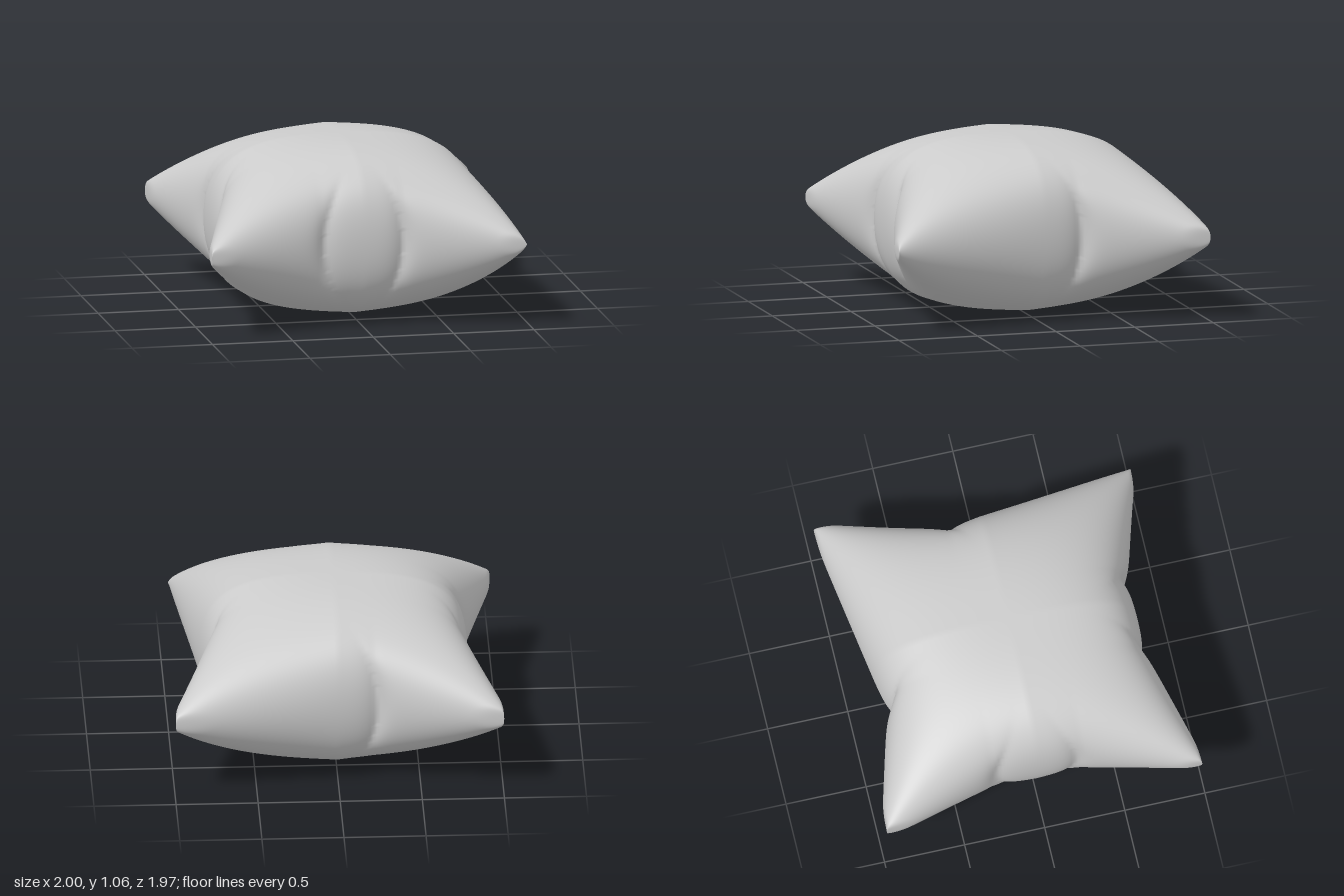
import * as THREE from 'three';
import { mergeGeometries, mergeVertices } from 'three/addons/utils/BufferGeometryUtils.js';

const SEGMENTS = 150;
const MID = 0.535;    // height of the seam
const PUFF = 0.53;    // half thickness at the centre
const HALF = 1.03;    // half width of the cushion before its sides draw in

// Seam outline of each side: [position along the side, distance from the centre],
// plus the tucks gathered into that side: [position, depth].
const SIDES = {
  left: { line: [[-1.03, 1.05], [-0.28, 0.82], [0.28, 0.82], [1.03, 1.04]], tucks: [[-0.25, 0.045], [0.25, 0.045]] },
  right: { line: [[-1.03, 1.05], [-0.22, 0.785], [1.03, 0.96]], tucks: [[-0.25, 0.06]] },
  back: { line: [[-1.03, 1.03], [-0.22, 0.805], [1.03, 1.01]], tucks: [[-0.25, 0.055]] },
  front: { line: [[-1.03, 1.02], [-0.27, 0.81], [0.24, 0.805], [1.03, 1.02]], tucks: [[-0.26, 0.05], [0.24, 0.06]] },
};

function lineAt(line, t) {
  let i = 1;
  while (i < line.length - 1 && t > line[i][0]) i++;
  const [t0, d0] = line[i - 1], [t1, d1] = line[i];
  return d0 + (d1 - d0) * (t - t0) / (t1 - t0);
}

// Distance from the centre for a point w (0 centre .. 1 seam) and t along the side
function reach(side, w, t) {
  let d = HALF * w + (lineAt(side.line, t) - HALF) * w ** 3;
  for (const [at, depth] of side.tucks) {
    // each tuck bends towards the middle away from the seam, and is steeper on its corner side
    const off = (t - at * w * w) * Math.sign(at);
    d -= depth * Math.exp(-Math.hypot(off, 0.012) / (off > 0 ? 0.04 : 0.06)) * w ** 6;
  }
  return d;
}

// Rounds off the corner tips just short of a limit
function blunt(d, limit) {
  const soft = 0.03, over = d - (limit - soft);
  return over > 0 ? limit - soft + soft * Math.tanh(over / soft) : d;
}

// Thickness, 1 at the centre and 0 at the seam, slackening towards the corners
function swell(a, b) {
  const full = Math.sqrt(Math.max(0, (1 - a ** 2.6) * (1 - b ** 2.6)));
  return full * (1 - 0.35 * a * b * (1 - a * b));
}

// One inflated panel; sign is +1 for the top and -1 for the bottom
function panel(sign) {
  const geo = new THREE.PlaneGeometry(2, 2, SEGMENTS, SEGMENTS);
  geo.rotateX(-sign * Math.PI / 2);
  const pos = geo.attributes.position;
  for (let i = 0; i < pos.count; i++) {
    // rows crowd towards the seam, where the surface curves most
    const u = Math.sin(pos.getX(i) * Math.PI / 2);
    const v = Math.sin(pos.getZ(i) * Math.PI / 2);
    const a = Math.abs(u), b = Math.abs(v);
    const x = reach(u > 0 ? SIDES.right : SIDES.left, a, v * HALF);
    const z = reach(v > 0 ? SIDES.front : SIDES.back, b, u * HALF);
    pos.setXYZ(i,
      Math.sign(u) * blunt(x, 1),
      MID + sign * PUFF * swell(a, b),
      Math.sign(v) * blunt(z, 0.985));
  }
  geo.deleteAttribute('uv');
  geo.deleteAttribute('normal');
  return geo;
}

export function createModel() {
  const group = new THREE.Group();
  group.name = 'cushion';

  // Both panels welded along the seam so the shading runs smoothly round it
  const geo = mergeVertices(mergeGeometries([panel(1), panel(-1)]));
  geo.computeVertexNormals();
  const cover = new THREE.Mesh(geo, new THREE.MeshStandardMaterial({ color: 0xcccccc }));
  cover.name = 'cushionCover';
  group.add(cover);
  return group;
}
